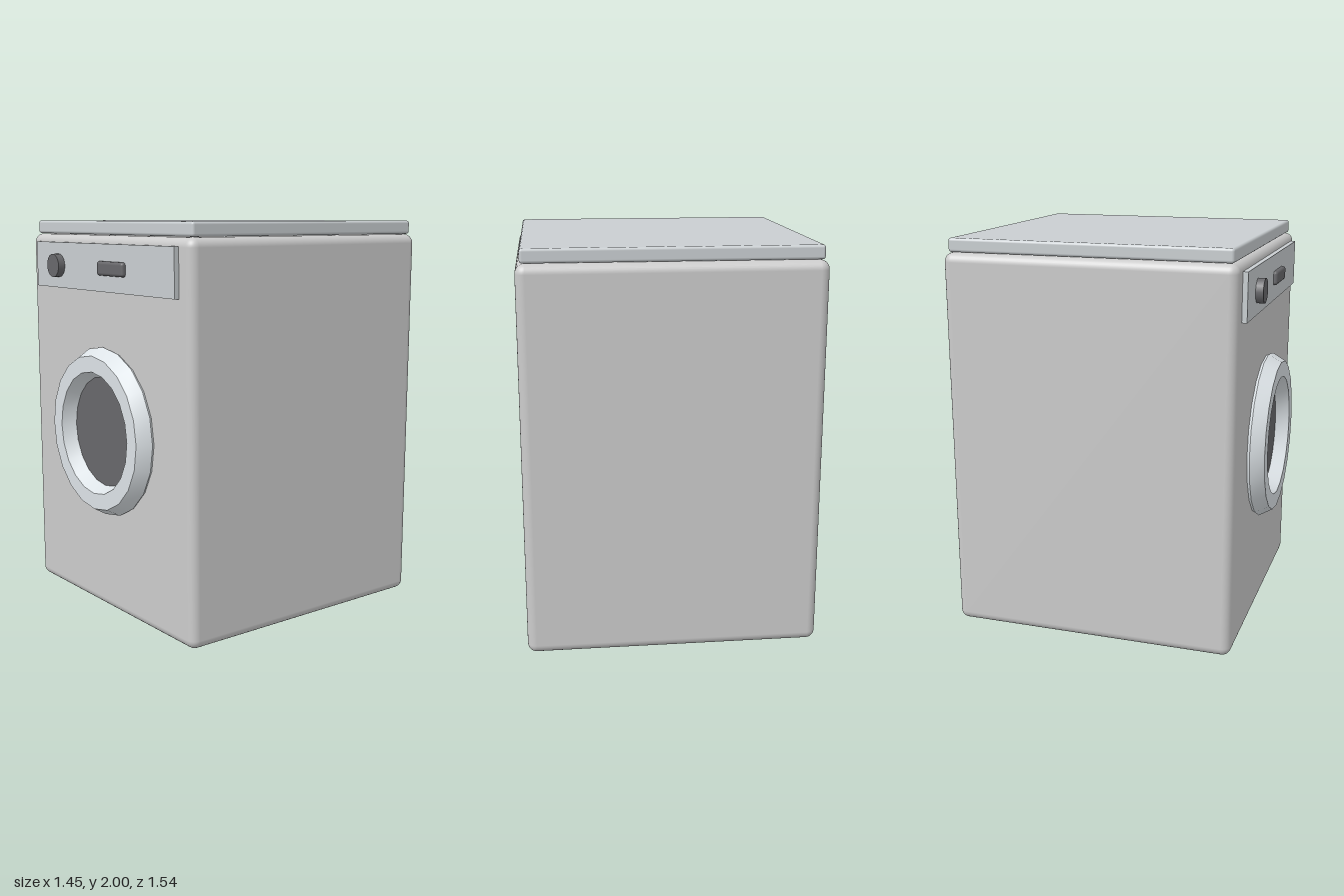
import * as THREE from 'three';
import { toCreasedNormals } from 'three/addons/utils/BufferGeometryUtils.js';
import { RoundedBoxGeometry } from 'three/addons/geometries/RoundedBoxGeometry.js';

const material = (color) => new THREE.MeshStandardMaterial({ color });

export function createModel() {
  const model = new THREE.Group();
  model.name = 'washingMachine';
  const bodyGrey = material(0xcccccc);
  const panelGrey = material(0xc9ced1);
  const ringGrey = material(0xdce2e6);
  const darkGrey = material(0x68686b);

  const add = (name, geometry, mat, x, y, z) => {
    const mesh = new THREE.Mesh(geometry, mat);
    mesh.name = name;
    mesh.position.set(x, y, z);
    model.add(mesh);
    return mesh;
  };

  // Cabinet with rounded edges and a thin worktop above it
  add('cabinet', new RoundedBoxGeometry(1.454, 1.93, 1.46, 4, 0.045), bodyGrey, 0, 0.965, -0.04);
  add('worktop', new RoundedBoxGeometry(1.41, 0.068, 1.41, 3, 0.014), panelGrey, 0, 1.966, -0.04);

  // Control panel with a dial and a rounded display
  add('controlPanel', new THREE.BoxGeometry(1.268, 0.235, 0.045), panelGrey, 0, 1.772, 0.6925);
  const dial = add('dial', new THREE.CylinderGeometry(0.06, 0.06, 0.05, 24), darkGrey, -0.4, 1.77, 0.727);
  dial.rotation.x = Math.PI / 2;
  add('display', new RoundedBoxGeometry(0.235, 0.07, 0.05, 3, 0.015), darkGrey, 0.117, 1.77, 0.711);

  // Door ring: bevelled on the outside and towards the window
  const ringProfile = [
    [0.422, 0], [0.432, 0.017], [0.393, 0.085], [0.312, 0.085], [0.28, 0.012],
  ].map(([r, h]) => new THREE.Vector2(r, h));
  const ringGeometry = toCreasedNormals(new THREE.LatheGeometry(ringProfile, 20), 0.5);
  const ring = add('doorRing', ringGeometry, ringGrey, 0, 0.945, 0.687);
  ring.rotation.x = Math.PI / 2;

  // Dark window set back inside the ring
  add('doorWindow', new THREE.CircleGeometry(0.29, 40), darkGrey, 0, 0.945, 0.702);

  return model;
}
